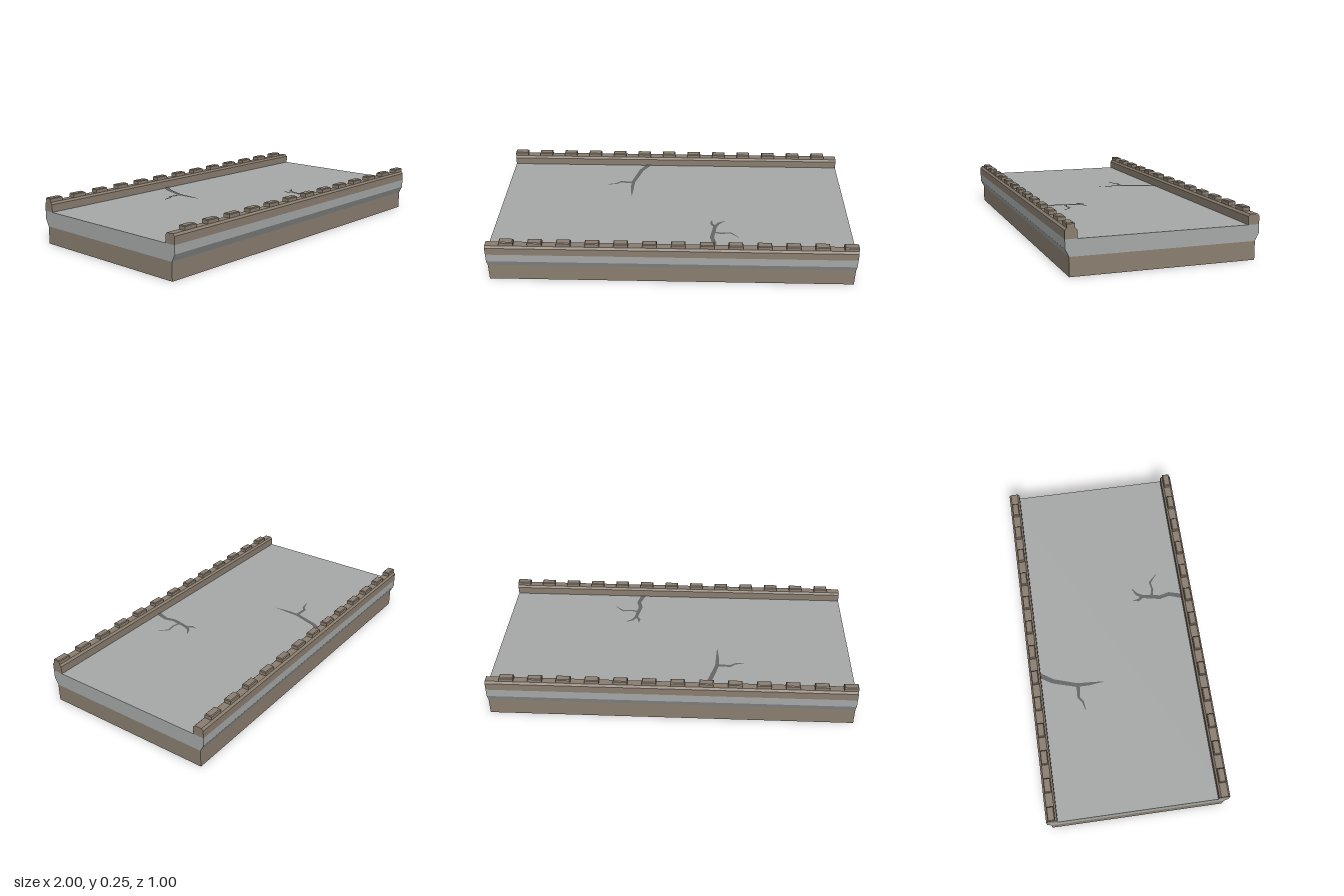
import * as THREE from 'three';

const flat = (name, color) => {
  const m = new THREE.MeshStandardMaterial({ color });
  m.name = name;
  return m;
};

// Extrude a (z, y) profile along the full length in x
function extrudeAlongX(points) {
  const shape = new THREE.Shape(points.map(([z, y]) => new THREE.Vector2(-z, y)));
  const geo = new THREE.ExtrudeGeometry(shape, { depth: 2, bevelEnabled: false });
  return geo.rotateY(Math.PI / 2).translate(-1, 0, 0);
}

// Thin ribbon on the deck through [x, z, halfWidth] points
function crackGeometry(path) {
  const left = [], right = [];
  path.forEach(([x, z, w], i) => {
    const a = path[Math.max(i - 1, 0)], b = path[Math.min(i + 1, path.length - 1)];
    const dx = b[0] - a[0], dz = b[1] - a[1], l = Math.hypot(dx, dz);
    left.push(new THREE.Vector2(x - dz / l * w, -(z + dx / l * w)));
    right.unshift(new THREE.Vector2(x + dz / l * w, -(z - dx / l * w)));
  });
  return new THREE.ShapeGeometry(new THREE.Shape([...left, ...right])).rotateX(-Math.PI / 2);
}

// Small block with a chamfered top edge, standing on y = 0
function blockGeometry(w, h, d, c) {
  const geo = new THREE.BoxGeometry(w, h, d, 1, 2, 1).toNonIndexed();
  const p = geo.attributes.position;
  for (let i = 0; i < p.count; i++) {
    const y = p.getY(i);
    if (y > 0.001) {
      p.setX(i, p.getX(i) - Math.sign(p.getX(i)) * c);
      p.setZ(i, p.getZ(i) - Math.sign(p.getZ(i)) * c);
    }
    p.setY(i, y > 0.001 ? h : y < -0.001 ? 0 : h - c);
  }
  geo.computeVertexNormals();
  return geo;
}

export function createModel() {
  const stone = flat('brown stone', 0x8a7e70);
  const concrete = flat('grey concrete', 0xa6a9a8);
  const crackGrey = flat('dark crack grey', 0x636666);
  const root = new THREE.Group();
  root.name = 'roadSection';
  const add = (name, geo, mat, parent = root) => {
    const mesh = new THREE.Mesh(geo, mat);
    mesh.name = name;
    parent.add(mesh);
    return mesh;
  };

  // Foundation and deck slab with chamfered underside
  add('foundation', extrudeAlongX([[-0.48, 0], [0.48, 0], [0.48, 0.096], [-0.48, 0.096]]), stone);
  add('deckSlab', extrudeAlongX([
    [-0.48, 0.096], [0.48, 0.096], [0.5, 0.135], [0.5, 0.18], [-0.5, 0.18], [-0.5, 0.135],
  ]), concrete);

  // Parapets with staggered blocks on each side
  const curb = extrudeAlongX([
    [-0.03, 0.18], [0.03, 0.18], [0.03, 0.222], [0.02, 0.233], [-0.02, 0.233], [-0.03, 0.222],
  ]);
  const count = 13, pitch = 2 / count, width = pitch / 2;
  const block = blockGeometry(width, 0.022, 0.04, 0.004);
  for (const side of [1, -1]) {
    const parapet = new THREE.Group();
    parapet.name = side > 0 ? 'frontParapet' : 'backParapet';
    parapet.position.z = side * 0.47;
    root.add(parapet);
    add('curb', curb, stone, parapet);
    for (let i = 0; i < count; i++) {
      const b = add('parapetBlock', block, stone, parapet);
      b.position.set(side * (1 - width / 2 - i * pitch), 0.233, 0);
    }
  }

  // Cracks running in from the parapets
  const cracks = {
    backCrack: [
      [[-0.16, -0.45, 0.014], [-0.208, -0.375, 0.013], [-0.25, -0.24, 0.011], [-0.252, -0.17, 0.009], [-0.25, -0.085, 0.001]],
      [[-0.245, -0.235, 0.01], [-0.325, -0.24, 0.008], [-0.35, -0.22, 0.006], [-0.4, -0.21, 0.002]],
    ],
    frontCrack: [
      [[0.21, 0.45, 0.014], [0.235, 0.37, 0.012], [0.222, 0.315, 0.012], [0.24, 0.215, 0.01], [0.26, 0.18, 0.008], [0.297, 0.158, 0.002]],
      [[0.243, 0.215, 0.009], [0.22, 0.185, 0.008], [0.222, 0.155, 0.002]],
      [[0.232, 0.265, 0.007], [0.275, 0.277, 0.006], [0.325, 0.27, 0.006], [0.37, 0.312, 0.002]],
    ],
  };
  for (const [name, paths] of Object.entries(cracks)) {
    const group = new THREE.Group();
    group.name = name;
    group.position.y = 0.182;
    root.add(group);
    paths.forEach((path, i) => {
      add('crackBranch', crackGeometry(path), crackGrey, group).position.y = i * 0.0004;
    });
  }
  return root;
}
